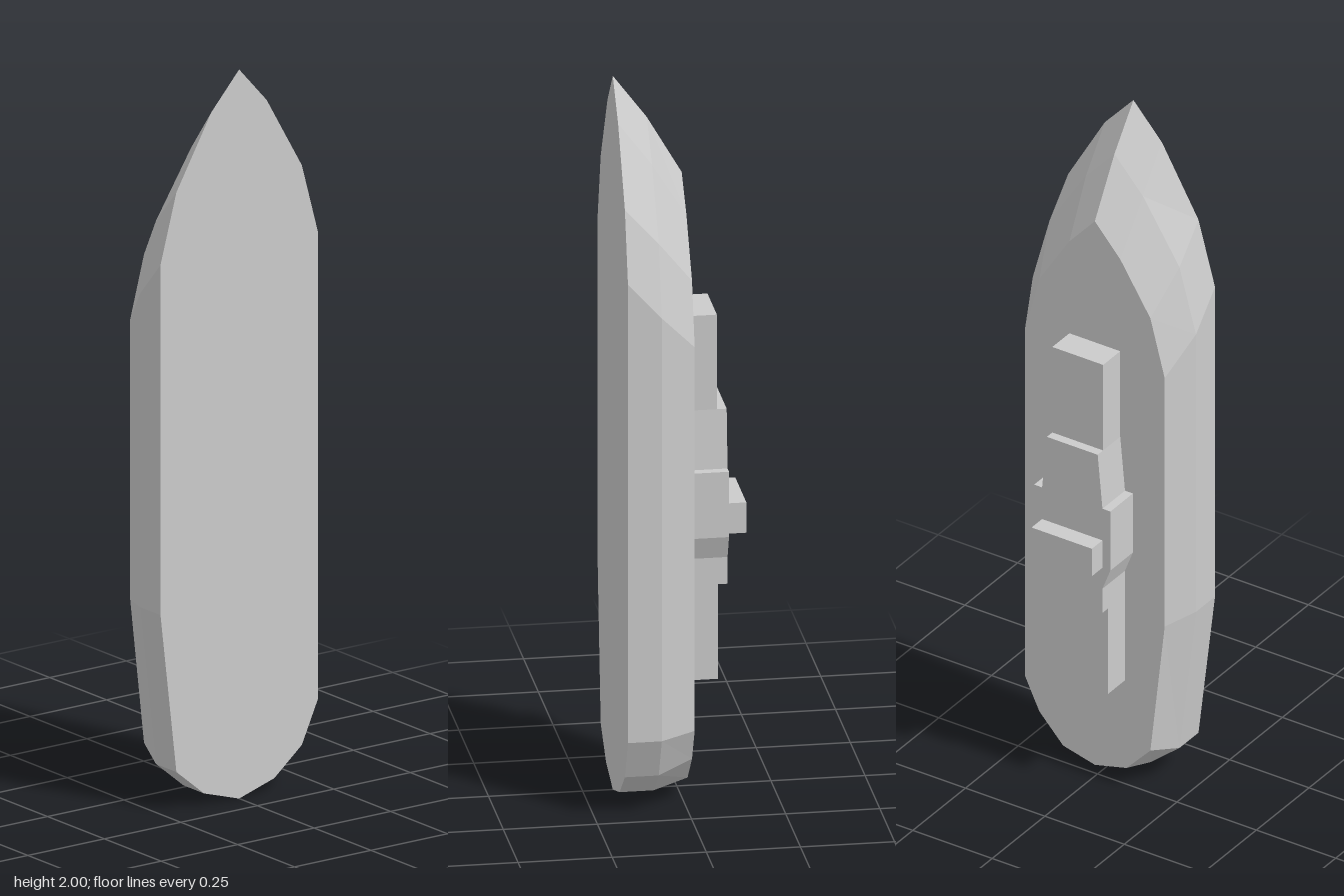
import * as THREE from 'three';

const material = new THREE.MeshStandardMaterial({ color: 0xcccccc, flatShading: true });

// Hull outlines, counter-clockwise seen from +z, starting at the bow tip
const keelRing = [
  [0, 2], [-0.09, 1.9], [-0.205, 1.7], [-0.257, 1.51], [-0.257, 0.55], [-0.205, 0.11], [-0.115, 0.035],
  [0, 0.0], [0.115, 0.035], [0.205, 0.11], [0.257, 0.225], [0.257, 1.51], [0.205, 1.7], [0.09, 1.9],
];
const midRing = [
  [0, 1.88], [-0.09, 1.78], [-0.205, 1.6], [-0.257, 1.41], [-0.257, 0.55], [-0.205, 0.11], [-0.115, 0.035],
  [0, 0.0], [0.115, 0.035], [0.205, 0.11], [0.257, 0.225], [0.257, 1.41], [0.205, 1.6], [0.09, 1.78],
];
const deckRing = [
  [0, 1.72], [-0.08, 1.63], [-0.175, 1.48], [-0.22, 1.31], [-0.22, 0.54], [-0.175, 0.14], [-0.1, 0.06],
  [0, 0.035], [0.1, 0.06], [0.175, 0.14], [0.22, 0.235], [0.22, 1.31], [0.175, 1.48], [0.08, 1.63],
];

// Skin three rings and close both ends with fans
function hullGeometry() {
  const rings = [[keelRing, 0.17], [midRing, 0.08], [deckRing, -0.013]];
  const n = keelRing.length;
  const positions = [], index = [];
  for (const [ring, z] of rings) for (const [x, y] of ring) positions.push(x, y, z);
  positions.push(0, 0.9, 0.17, 0, 0.9, -0.013);
  const keelCentre = n * 3, deckCentre = keelCentre + 1;
  for (let i = 0; i < n; i++) {
    const j = (i + 1) % n;
    for (let r = 0; r < 2; r++) {
      const a = r * n + i, b = r * n + j, c = a + n, d = b + n;
      index.push(a, c, b, b, c, d);
    }
    index.push(keelCentre, i, j, deckCentre, 2 * n + j, 2 * n + i);
  }
  const geometry = new THREE.BufferGeometry();
  geometry.setAttribute('position', new THREE.Float32BufferAttribute(positions, 3));
  geometry.setIndex(index);
  const flat = geometry.toNonIndexed();
  flat.computeVertexNormals();
  return flat;
}

function box(name, halfWidth, y0, y1, z0, z1) {
  const mesh = new THREE.Mesh(new THREE.BoxGeometry(halfWidth * 2, y1 - y0, z1 - z0), material);
  mesh.position.set(0, (y0 + y1) / 2, (z0 + z1) / 2);
  mesh.name = name;
  return mesh;
}

export function createModel() {
  const group = new THREE.Group();
  group.name = 'ship';

  const hull = new THREE.Mesh(hullGeometry(), material);
  hull.name = 'hull';
  group.add(hull);

  // Stepped central deckhouse, mirrored from one half profile
  const half = [[0.095, 0.595], [0.095, 0.67], [0.12, 0.735], [0.12, 0.918], [0.095, 0.918], [0.08, 1.08]];
  const outline = [...half, ...half.map(([x, y]) => [-x, y]).reverse()];
  const shape = new THREE.Shape(outline.map(([x, y]) => new THREE.Vector2(x, y)));
  const deckhouse = new THREE.Mesh(
    new THREE.ExtrudeGeometry(shape, { depth: 0.107, bevelEnabled: false }), material);
  deckhouse.position.z = -0.12;
  deckhouse.name = 'deckhouse';
  group.add(deckhouse);

  // Lower blocks fore and aft, and the raised bridge across the deckhouse
  group.add(
    box('foreBlock', 0.08, 1.07, 1.345, -0.094, -0.013),
    box('aftBlock', 0.095, 0.33, 0.6, -0.094, -0.013),
    box('bridge', 0.095, 0.735, 0.82, -0.17, -0.12),
  );
  return group;
}
